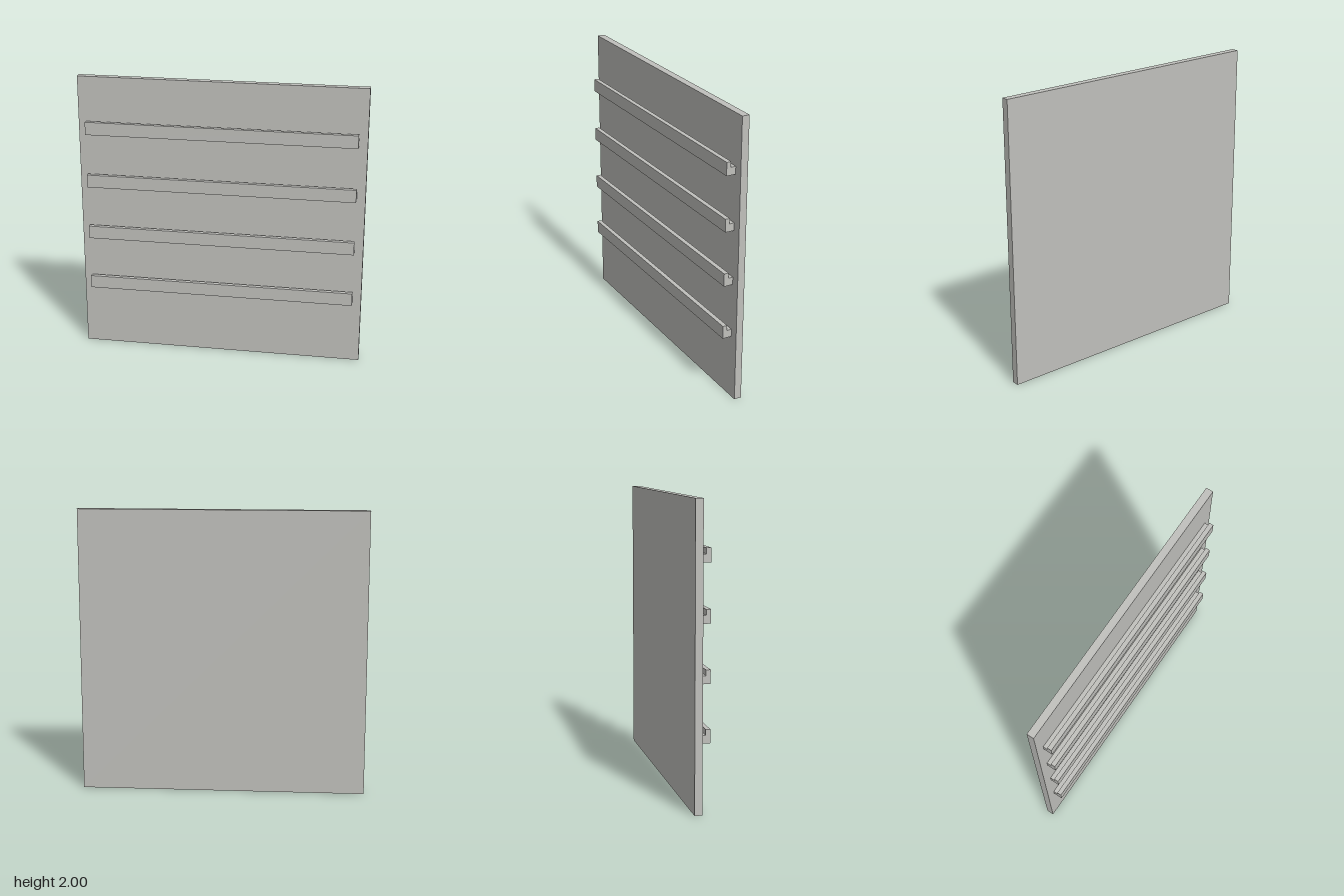
import * as THREE from 'three';

export function createModel() {
  const model = new THREE.Group();
  model.name = 'wallRack';
  const grey = new THREE.MeshStandardMaterial({ color: 0xc0c0bc });
  grey.name = 'warm grey';

  const halfDepth = 0.058, panelDepth = 0.051;
  const panelFront = -halfDepth + panelDepth;

  // Square back panel
  const panel = new THREE.Mesh(new THREE.BoxGeometry(2, 2, panelDepth), grey);
  panel.name = 'backPanel';
  panel.position.set(0, 1, -halfDepth + panelDepth / 2);
  model.add(panel);

  // L-shaped ledge profile (shape x = depth towards the front, y = up), extruded along the width
  const depth = halfDepth - panelFront, lip = 0.031, length = 1.88;
  const profile = new THREE.Shape([
    [0, 0], [depth, 0], [depth, 0.091], [depth - lip, 0.091], [depth - lip, 0.053], [0, 0.053],
  ].map(([x, y]) => new THREE.Vector2(x, y)));
  const ledgeGeometry = new THREE.ExtrudeGeometry(profile, { depth: length, bevelEnabled: false });
  ledgeGeometry.translate(0, 0, -length / 2).rotateY(-Math.PI / 2);

  // Four evenly spaced ledges
  for (let i = 0; i < 4; i++) {
    const ledge = new THREE.Mesh(ledgeGeometry, grey);
    ledge.name = `ledge${i + 1}`;
    ledge.position.set(0, 0.452 + i * 0.383, panelFront);
    model.add(ledge);
  }
  return model;
}
